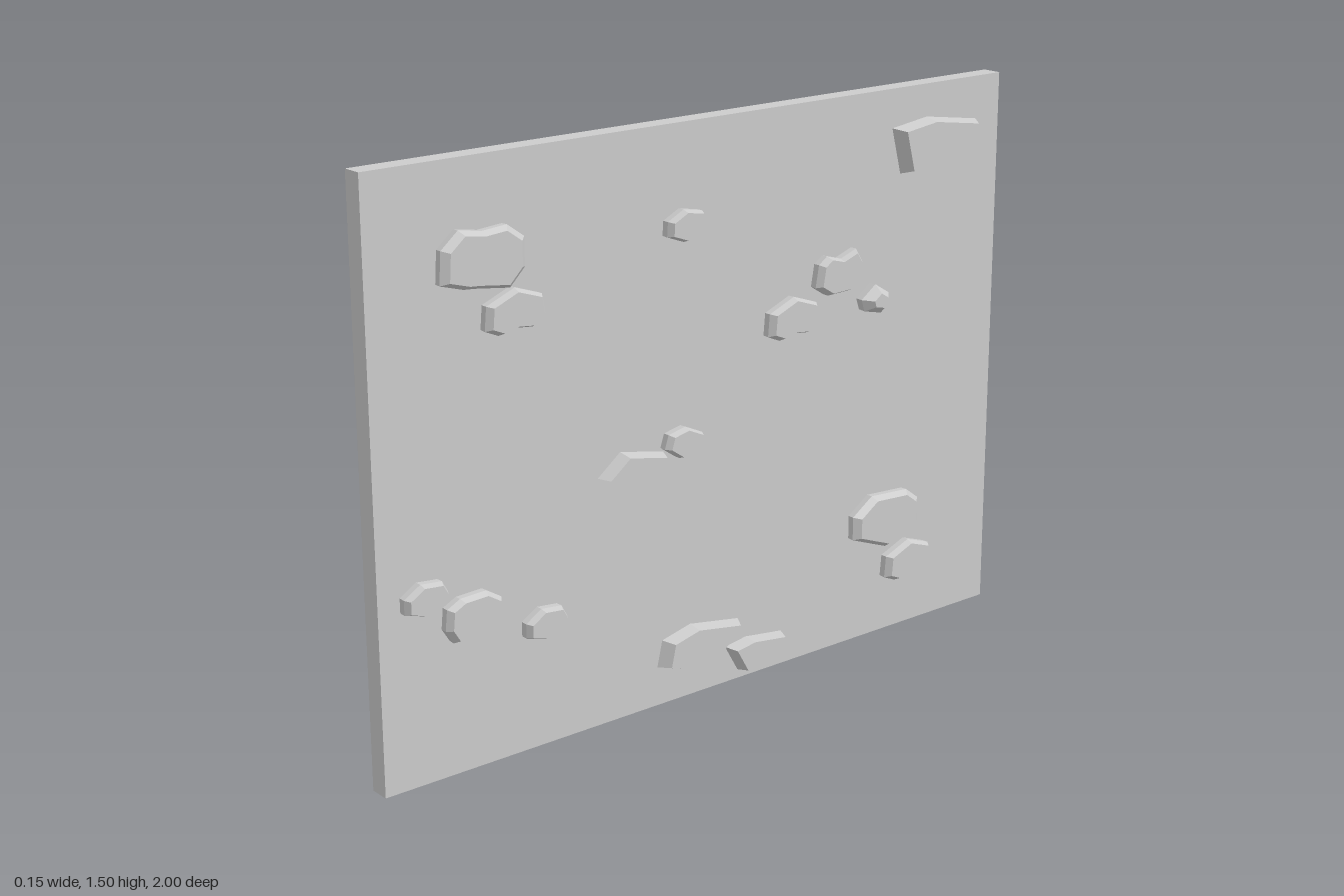
import * as THREE from 'three';

const UNIT = 186.5; // outline units per model unit
const material = new THREE.MeshStandardMaterial({ color: 0xcccccc, flatShading: true, side: THREE.DoubleSide });

// Outlines run clockwise as [right, down] around each stone's middle
const SHAPES = {
  boulder: [[-22, 8], [-21, -7], [-12, -14.5], [0, -12.5], [13, -13.5], [22, -7], [22, 6.5], [14, 14.5], [-4, 12], [-10, 11.5]],
  slab: [[-22.5, 6], [-22.5, -6], [-10, -14.5], [14, -13], [22, -7], [22, 6], [0, 14.5], [-12, 10]],
  cobble: [[-16, 7], [-15, -4], [0, -10], [14.5, -5], [16, 4], [9, 9], [0, 8], [-9, 10]],
  pebble: [[-11.5, 4], [-11, -3], [-2, -7.5], [9, -5.5], [11.5, 0], [9, 4.5], [-2, 7.5]],
  notched: [[-15, 5], [-13, -6], [-8, -9.5], [1, -7], [11, -10.5], [15, -4], [14, 6], [7, 9.5], [-7, 10]],
  nub: [[-9, -1], [0, -7.5], [9, -2], [4, 7.5], [-7, 5]],
  shardLarge: [[-28, -10], [-5, -13], [29, -8], [6, 11], [-22, 13]],
  shardSmall: [[-19, -1], [-6, -11], [19, -6], [17, 10], [2, 6]],
  shardLong: [[-25, 6], [-22, -7], [-5, -11], [25, -6], [12, 7], [-13, 10]],
  shardLow: [[-18, -6], [-5, -8], [18, -5], [11, 5], [-10, 8]],
};

// Stone sections as [x, scale] from inside the wall to the exposed face
const ROUND = [[0, 0.97], [0.046, 1], [0.063, 0.85]];
const SHARD = [[0, 1], [0.027, 1], [0.063, 0.86]];
const NUB = [[0, 0.9], [0.05, 1], [0.076, 0.5]];

// kind, z, y, turn
const STONES = [
  ['boulder', 0.695, 1.26, 0], ['cobble', 0.608, 1.127, 0],
  ['slab', -0.598, 0.329, 0], ['cobble', -0.684, 0.197, 0],
  ['cobble', -0.255, 0.957, 0], ['notched', -0.41, 1.047, 0],
  ['notched', 0.748, 0.405, Math.PI], ['nub', -0.537, 0.957, 0],
  ['pebble', 0.095, 1.25, 0], ['pebble', 0.102, 0.697, -0.25],
  ['pebble', 0.538, 0.33, 0.08], ['pebble', 0.88, 0.48, 0.08],
  ['shardLarge', -0.758, 1.343, 0], ['shardSmall', 0.26, 0.649, 0],
  ['shardLong', 0.046, 0.137, 0], ['shardLow', -0.142, 0.067, 0],
];

// Loft an outline through its sections and close the exposed face
function stoneGeometry(outline, sections) {
  const n = outline.length;
  const positions = [];
  const indices = [];
  for (const [x, s] of sections)
    for (const [right, down] of outline) positions.push(x, (-down * s) / UNIT, (-right * s) / UNIT);
  for (let k = 0; k < sections.length - 1; k++)
    for (let i = 0; i < n; i++) {
      const a = k * n + i, b = k * n + ((i + 1) % n);
      indices.push(a, a + n, b, b, a + n, b + n);
    }
  const last = (sections.length - 1) * n;
  positions.push(sections[sections.length - 1][0], 0, 0);
  for (let i = 0; i < n; i++) indices.push(last + n, last + ((i + 1) % n), last + i);
  const geometry = new THREE.BufferGeometry();
  geometry.setAttribute('position', new THREE.Float32BufferAttribute(positions, 3));
  geometry.setIndex(indices);
  const flat = geometry.toNonIndexed();
  flat.computeVertexNormals();
  return flat;
}

export function createModel() {
  const model = new THREE.Group();
  model.name = 'stoneWall';

  // Flat wall panel
  const panel = new THREE.Mesh(new THREE.BoxGeometry(0.054, 1.5, 2), material);
  panel.name = 'wallPanel';
  panel.position.y = 0.75;
  model.add(panel);

  // Stones on one face
  const stones = new THREE.Group();
  stones.name = 'leftStones';
  for (const [kind, z, y, turn] of STONES) {
    const sections = kind === 'nub' ? NUB : kind.startsWith('shard') ? SHARD : ROUND;
    const stone = new THREE.Mesh(stoneGeometry(SHAPES[kind], sections), material);
    stone.name = kind;
    stone.position.set(0, y, z);
    stone.rotation.x = turn;
    stones.add(stone);
  }
  model.add(stones);

  // The same stones turned round onto the other face
  const opposite = stones.clone();
  opposite.name = 'rightStones';
  opposite.rotation.y = Math.PI;
  opposite.position.z = 0.012;
  model.add(opposite);

  return model;
}
